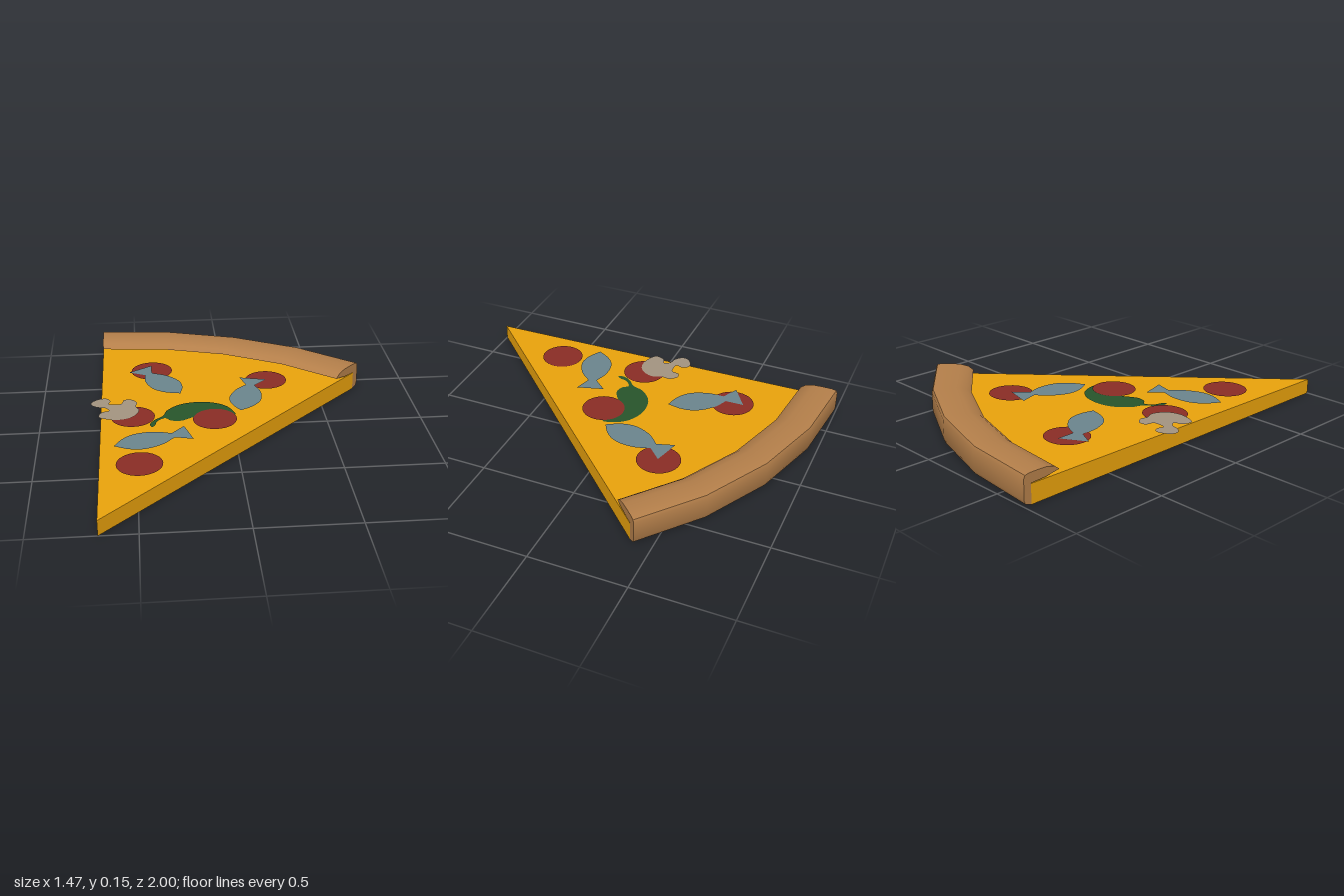
import * as THREE from 'three';
import { toCreasedNormals } from 'three/addons/utils/BufferGeometryUtils.js';

const STEPS = 4, SPAN = Math.PI / 4, TIP_X = -0.68, TIP_Z = 1;
const CHEESE_R = 1.96;

// point on the slice: radius from the tip, height, angle index along the arc
const polar = (r, y, i) => {
  const a = (SPAN * i) / STEPS;
  return [TIP_X + r * Math.sin(a), y, TIP_Z - r * Math.cos(a)];
};
const cheeseY = (x, z) => 0.078 + 0.01 * Math.hypot(x - TIP_X, z - TIP_Z);

function meshFrom(name, points, index, color) {
  const geo = new THREE.BufferGeometry();
  geo.setAttribute('position', new THREE.Float32BufferAttribute(points.flat(), 3));
  geo.setIndex(index);
  const mesh = new THREE.Mesh(toCreasedNormals(geo, 0.7), new THREE.MeshStandardMaterial({ color }));
  mesh.name = name;
  return mesh;
}

// wedge outline, clockwise from above: tip, then along the arc
function outline(heightAt) {
  const pts = [[TIP_X, heightAt(TIP_X, TIP_Z), TIP_Z]];
  for (let i = 0; i <= STEPS; i++) {
    const [x, , z] = polar(CHEESE_R, 0, i);
    pts.push([x, heightAt(x, z), z]);
  }
  return pts;
}

function cheese() {
  const top = outline(cheeseY), bottom = outline(() => 0), n = top.length, index = [];
  for (let i = 1; i < n - 1; i++) index.push(0, i + 1, i);
  for (let a = 0; a < n; a++) {
    const b = (a + 1) % n;
    index.push(a, b, n + b, a, n + b, n + a);
  }
  return meshFrom('cheese', [...top, ...bottom], index, 0xeaa30c);
}

function base() {
  const pts = outline(() => 0), index = [];
  for (let i = 1; i < pts.length - 1; i++) index.push(0, i, i + 1);
  return meshFrom('base', pts, index, 0xb47f4a);
}

// crust: a hooked section swept around the arc, with a lip over the cheese
function crust() {
  const section = [[1.8, 0.116], [1.825, 0.136], [1.87, 0.148], [1.92, 0.15], [1.97, 0.15], [1.993, 0.145],
    [2, 0.13], [2, 0.03], [1.993, 0.012], [1.96, 0], [1.96, 0.1], [1.88, 0.103]];
  const n = section.length, pts = [], index = [];
  for (let i = 0; i <= STEPS; i++) for (const [r, y] of section) pts.push(polar(r, y, i));
  for (let i = 0; i < STEPS; i++) {
    for (let j = 0; j < n; j++) {
      const a = i * n + j, b = i * n + ((j + 1) % n);
      index.push(a, a + n, b, b, a + n, b + n);
    }
  }
  const flat = section.map(([r, y]) => new THREE.Vector2(r, y));
  for (const [a, b, c] of THREE.ShapeUtils.triangulateShape(flat, [])) {
    const ccw = THREE.ShapeUtils.area([flat[a], flat[b], flat[c]]) > 0;
    const [p, q] = ccw ? [b, c] : [c, b];
    const end = STEPS * n;
    index.push(a, q, p, end + a, end + p, end + q);
  }
  return meshFrom('crust', pts, index, 0xb47f4a);
}

// flat topping cut from an outline of [x, z] points and laid on the cheese
function topping(name, points, color, lift) {
  const shape = new THREE.Shape(points.map(([x, z]) => new THREE.Vector2(x, -z)));
  const geo = new THREE.ShapeGeometry(shape).rotateX(-Math.PI / 2);
  const pos = geo.attributes.position;
  for (let i = 0; i < pos.count; i++) pos.setY(i, cheeseY(pos.getX(i), pos.getZ(i)) + lift);
  geo.computeVertexNormals();
  const mesh = new THREE.Mesh(geo, new THREE.MeshStandardMaterial({ color, side: THREE.DoubleSide }));
  mesh.name = name;
  return mesh;
}

const smooth = (points, closed, count) =>
  new THREE.CatmullRomCurve3(points.map(([x, z]) => new THREE.Vector3(x, 0, z)), closed)
    .getPoints(count).map((p) => [p.x, p.z]);

const disc = (x, z, r) => Array.from({ length: 32 }, (_, i) => {
  const a = (i / 32) * Math.PI * 2;
  return [x + r * Math.cos(a), z + r * Math.sin(a)];
});

// fish: curved flank and pointed tail fin, mirrored about its axis
function fish(nose, tail) {
  const flank = smooth([[0, 0], [0.15, 0.14], [0.34, 0.215], [0.6, 0.175], [0.79, 0.06]], false, 14);
  flank.push([1, 0.19]);
  const local = [...flank, ...flank.slice(1).reverse().map(([u, v]) => [u, -v])];
  const dx = tail[0] - nose[0], dz = tail[1] - nose[1];
  return local.map(([u, v]) => [nose[0] + u * dx - v * dz, nose[1] + u * dz + v * dx]);
}

export function createModel() {
  const group = new THREE.Group();
  group.name = 'pizzaSlice';
  group.add(base(), cheese(), crust());

  // chilli pepper with a curled stem
  const body = smooth([[0.008, 0.066], [-0.024, -0.029], [-0.093, -0.082], [-0.183, -0.098], [-0.272, -0.077],
    [-0.341, -0.013], [-0.363, 0.045], [-0.41, 0.09], [-0.431, 0.135], [-0.42, 0.162], [-0.405, 0.14],
    [-0.394, 0.103], [-0.352, 0.07], [-0.325, 0.098], [-0.278, 0.108], [-0.225, 0.082], [-0.185, 0.055],
    [-0.13, 0.03], [-0.05, 0.04]], true, 90);
  group.add(topping('pepper', body, 0x27552b, 0.004));

  for (const [x, z] of [[-0.407, -0.505], [0.21, -0.328], [-0.516, 0.045], [-0.1, 0.108], [-0.489, 0.534]]) {
    group.add(topping('salami', disc(x, z, 0.112), 0x8a2d25, 0.007));
  }

  for (const [nose, tail] of [[[-0.262, -0.196], [-0.471, -0.524]], [[0.04, 0.034], [0.14, -0.344]],
    [[-0.611, 0.357], [-0.241, 0.249]]]) {
    group.add(topping('fish', fish(nose, tail), 0x6b858d, 0.011));
  }

  // mushroom slice hanging over the side
  const mushroom = smooth([[-0.733, -0.124], [-0.696, -0.161], [-0.653, -0.167], [-0.632, -0.135], [-0.64, -0.1],
    [-0.611, -0.093], [-0.576, -0.098], [-0.569, -0.114], [-0.563, -0.14], [-0.526, -0.146], [-0.495, -0.108],
    [-0.5, -0.06], [-0.484, -0.024], [-0.495, 0.024], [-0.532, 0.066], [-0.585, 0.082], [-0.648, 0.071],
    [-0.69, 0.045], [-0.685, 0.008], [-0.669, -0.013], [-0.638, -0.024], [-0.658, -0.056], [-0.696, -0.066],
    [-0.728, -0.093]], true, 96);
  group.add(topping('mushroom', mushroom, 0xa39480, 0.011));
  return group;
}
